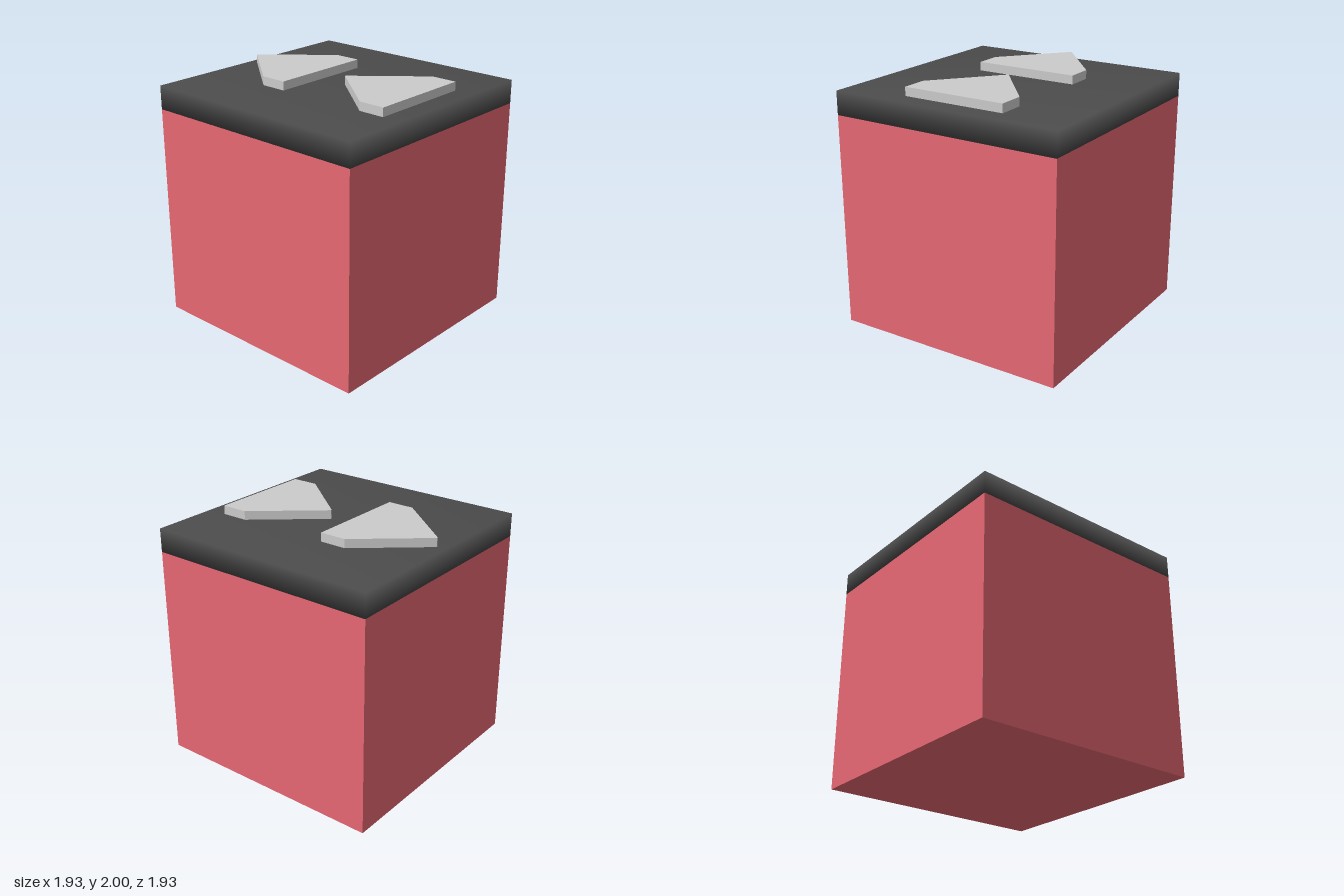
import * as THREE from 'three';
import { mergeVertices } from 'three/addons/utils/BufferGeometryUtils.js';

const SIZE = 1.93, BODY_TOP = 1.74, CAP_TOP = 1.93, TOP = 2;

// Box whose corners share vertices, so its shading runs smoothly over the edges
function smoothBox(w, h, d) {
  const box = new THREE.BoxGeometry(w, h, d);
  box.deleteAttribute('normal');
  box.deleteAttribute('uv');
  const merged = mergeVertices(box);
  merged.computeVertexNormals();
  return merged;
}

export function createModel() {
  const group = new THREE.Group();
  const red = new THREE.MeshStandardMaterial({ color: 0xe76873 });
  const dark = new THREE.MeshStandardMaterial({ color: 0x4c4c4c });
  const grey = new THREE.MeshStandardMaterial({ color: 0xcccccc });

  const add = (name, geometry, material, y, z = 0) => {
    const mesh = new THREE.Mesh(geometry, material);
    mesh.name = name;
    mesh.position.set(0, y, z);
    group.add(mesh);
  };

  // Cube body and the dark slab on top
  add('body', new THREE.BoxGeometry(SIZE, BODY_TOP, SIZE), red, BODY_TOP / 2);
  add('topSlab', smoothBox(SIZE, CAP_TOP - BODY_TOP, SIZE), dark, (BODY_TOP + CAP_TOP) / 2);

  // Two raised arrowheads pointing to the back; local origin is the base edge
  const outline = [[-0.43, 0], [0.43, 0], [0.43, 0.215], [0.005, 0.725], [-0.005, 0.725], [-0.43, 0.215]];
  const shape = new THREE.Shape(outline.map(([x, y]) => new THREE.Vector2(x, y)));
  const arrow = new THREE.ExtrudeGeometry(shape, { depth: TOP - CAP_TOP, bevelEnabled: false });
  arrow.rotateX(-Math.PI / 2);
  add('frontArrow', arrow, grey, CAP_TOP, 0.805);
  add('backArrow', arrow, grey, CAP_TOP, -0.165);

  return group;
}
